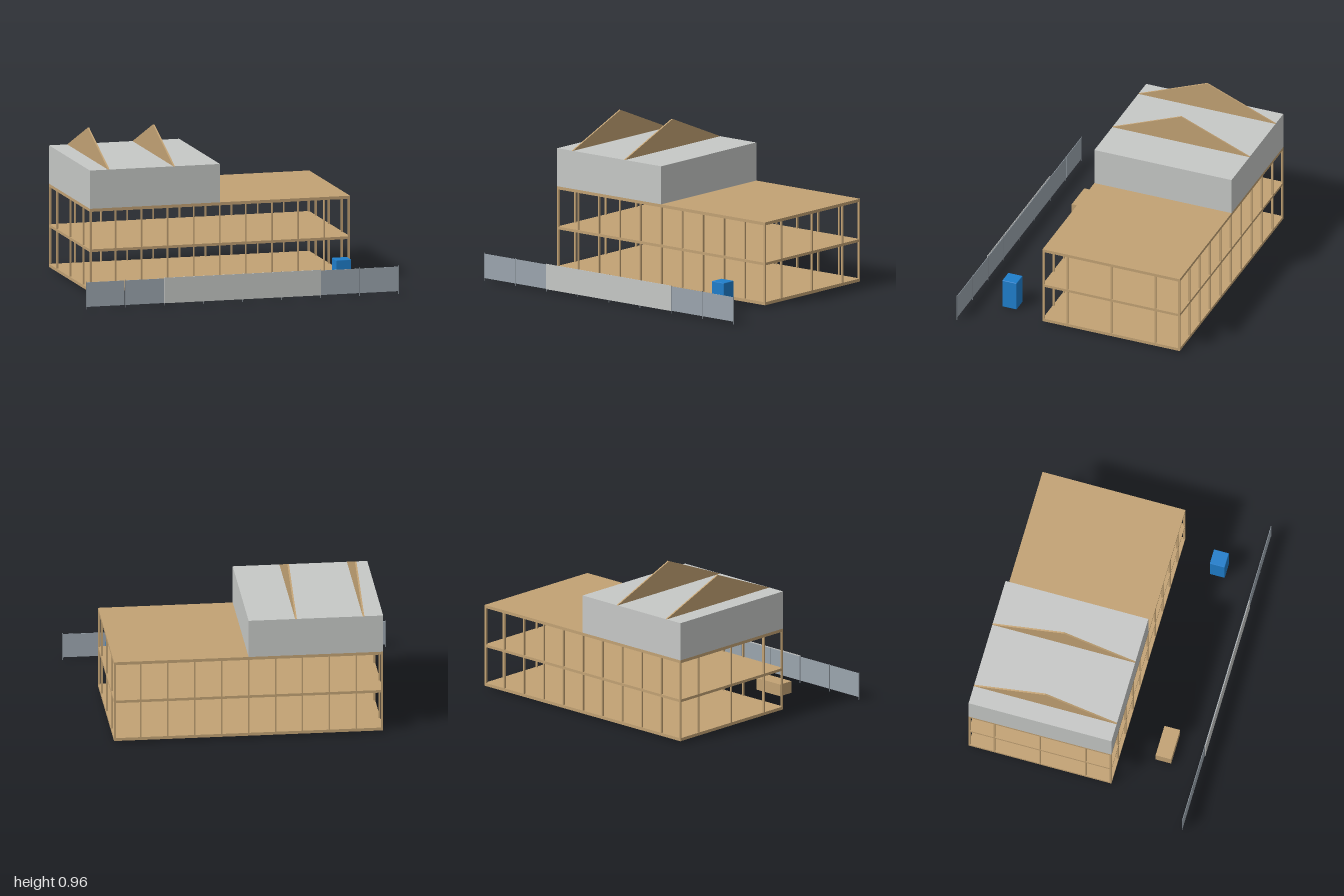
import * as THREE from 'three';
import { RoundedBoxGeometry } from 'three/addons/geometries/RoundedBoxGeometry.js';

const material = (name, color) => {
  const m = new THREE.MeshStandardMaterial({ color });
  m.name = name;
  return m;
};

export function createModel() {
  const timber = material('timber', 0xc2a274);
  const cladding = material('pale grey cladding', 0xc6c8c6);
  const fencing = material('blue grey fencing', 0x9ba5ae);
  const steel = material('dark steel', 0x7c848b);
  const blue = material('blue plastic', 0x1f7ecb);

  const model = new THREE.Group();
  model.name = 'constructionSite';

  const group = (name) => {
    const g = new THREE.Group();
    g.name = name;
    model.add(g);
    return g;
  };
  // Box given by its lower and upper limits on each axis
  const box = (parent, name, mat, [x0, x1], [y0, y1], [z0, z1]) => {
    const mesh = new THREE.Mesh(new THREE.BoxGeometry(x1 - x0, y1 - y0, z1 - z0), mat);
    mesh.position.set((x0 + x1) / 2, (y0 + y1) / 2, (z0 + z1) / 2);
    mesh.name = name;
    parent.add(mesh);
  };

  const halfW = 0.831, zBack = -0.71, zFront = 0.202;
  const zMid = (zBack + zFront) / 2;

  // Three floor decks
  const decks = [[0.014, 0.033], [0.264, 0.281], [0.515, 0.534]];
  const frame = group('timberFrame');
  decks.forEach((y) => box(frame, 'floorDeck', timber, [-halfW, halfW], y, [zBack, zFront]));

  // Perimeter posts on both storeys
  const post = (x, z, w, d, y) =>
    box(frame, 'post', timber, [x - w / 2, x + w / 2], y, [z - d / 2, z + d / 2]);
  for (let storey = 0; storey < 2; storey++) {
    const y = [decks[storey][1], decks[storey + 1][0]];
    for (const z of [zBack + 0.006, zFront - 0.006]) {
      for (let i = -4; i <= 4; i++) post(i / 6, z, 0.008, 0.012, y);
      for (const side of [-1, 1]) post(side * (halfW - 0.006), z, 0.012, 0.012, y);
    }
    for (const side of [-1, 1])
      for (const dz of [-0.292, 0, 0.292]) post(side * (halfW - 0.006), zMid + dz, 0.012, 0.009, y);
  }

  // Clad upper storey over the right half
  const upper = group('upperStorey');
  box(upper, 'cladBlock', cladding, [-halfW, 0], [0.534, 0.773], [zBack, zFront]);

  // Triangular roof trusses
  const gable = new THREE.Shape([
    new THREE.Vector2(-zFront, 0.773),
    new THREE.Vector2(-zBack, 0.773),
    new THREE.Vector2(-zMid, 0.956),
  ]);
  const gableGeometry = new THREE.ExtrudeGeometry(gable, { depth: 0.01, bevelEnabled: false });
  gableGeometry.rotateY(Math.PI / 2);
  for (const x of [-0.71, -0.293]) {
    const truss = new THREE.Mesh(gableGeometry, timber);
    truss.position.x = x - 0.005;
    truss.name = 'roofTruss';
    upper.add(truss);
  }

  // Site fence: eight panels between nine poles, with a pale banner in the middle
  const fence = group('siteFence');
  for (let i = 0; i < 8; i++) {
    const x = -1 + i * 0.25;
    box(fence, 'fencePanel', fencing, [x + 0.002, x + 0.248], [0.017, 0.17], [0.7, 0.703]);
  }
  for (let i = 0; i < 9; i++) {
    const pole = new THREE.Mesh(new THREE.CylinderGeometry(0.0025, 0.0025, 0.175, 8), steel);
    pole.position.set((-1 + i * 0.25) * 0.9975, 0.0875, 0.7015);
    pole.name = 'fencePole';
    fence.add(pole);
  }
  box(fence, 'banner', cladding, [-0.5, 0.5], [0.016, 0.175], [0.704, 0.707]);

  // Timber stack
  box(model, 'timberStack', timber, [-0.6, -0.4], [0, 0.075], [0.418, 0.518]);

  // Portable toilet
  const cabin = new THREE.Mesh(new RoundedBoxGeometry(0.098, 0.19, 0.096, 1, 0.004), blue);
  cabin.position.set(0.704, 0.097, 0.455);
  cabin.name = 'portableToilet';
  model.add(cabin);

  return model;
}
